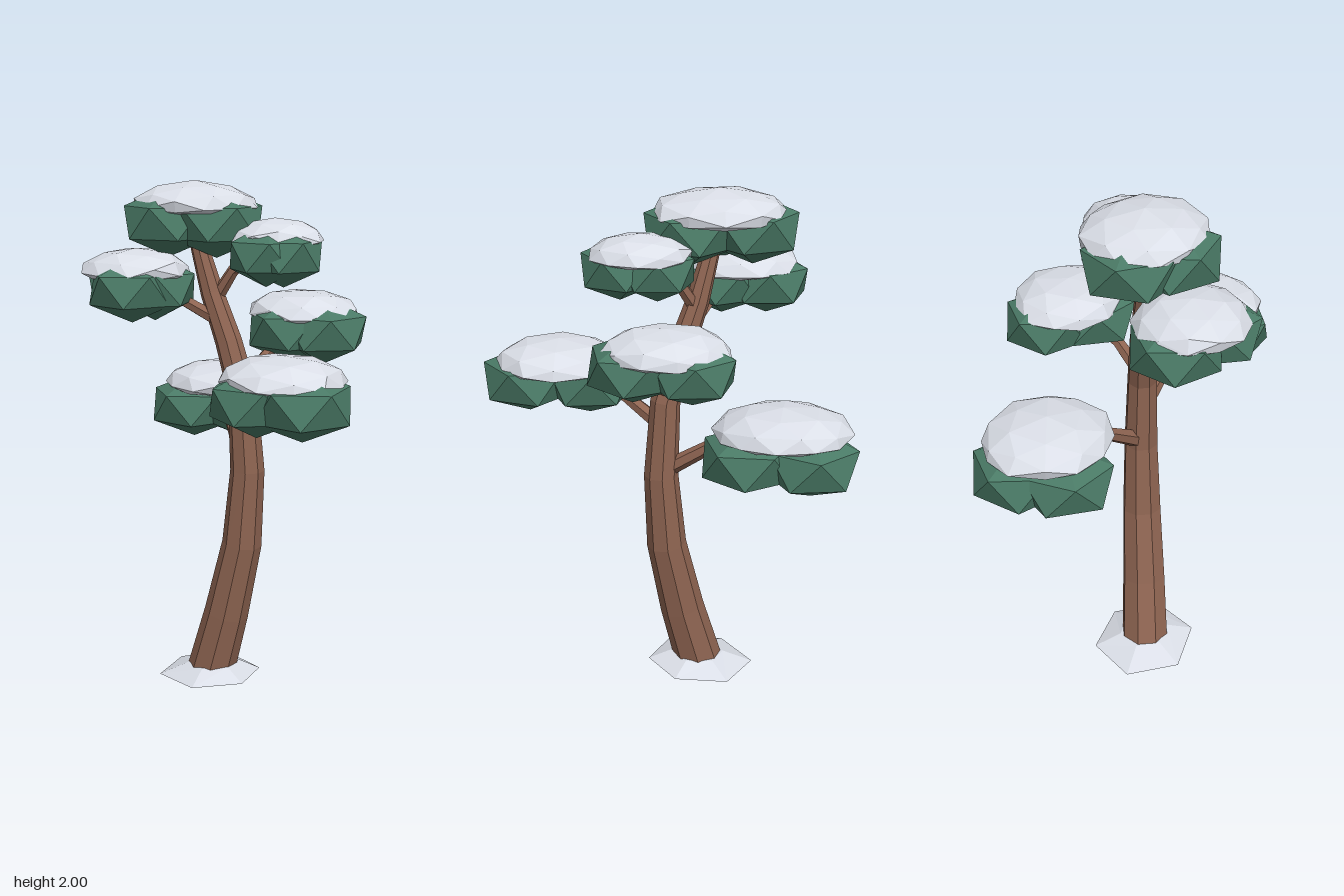
import * as THREE from 'three';

const mat = (name, color) => {
  const m = new THREE.MeshStandardMaterial({ color });
  m.name = name;
  return m;
};

export function createModel() {
  const bark = mat('bark brown', 0x8f6552);
  const leaf = mat('pine green', 0x4a7a66);
  const snow = mat('snow white', 0xdfe3ec);
  const tree = new THREE.Group();
  tree.name = 'snowyTree';

  const add = (parent, name, geometry, material) => {
    const mesh = new THREE.Mesh(geometry, material);
    mesh.name = name;
    parent.add(mesh);
  };

  // Faceted normals
  const facet = (geometry) => {
    const g = geometry.index ? geometry.toNonIndexed() : geometry;
    g.computeVertexNormals();
    return g;
  };

  // Push every corner in or out a little, the same for corners that coincide
  const roughen = (geometry, amount, seed) => {
    const p = geometry.attributes.position;
    const v = new THREE.Vector3();
    for (let i = 0; i < p.count; i++) {
      v.fromBufferAttribute(p, i);
      const key = Math.round(v.x * 50) * 12.9 + Math.round(v.y * 50) * 78.2 + Math.round(v.z * 50) * 37.7;
      v.multiplyScalar(1 + amount * Math.sin(key + seed * 5.3));
      p.setXYZ(i, v.x, v.y, v.z);
    }
    return geometry;
  };

  // Tapered faceted limb through stations [x, y, z, radius]
  const limb = (stations, sides) => {
    const last = stations.length - 1;
    const g = new THREE.CylinderGeometry(1, 1, 1, sides, last);
    const at = stations.map(([x, y, z]) => new THREE.Vector3(x, y, z));
    const up = new THREE.Vector3(0, 1, 0);
    const turns = at.map((_, i) => {
      const dir = at[Math.min(i + 1, last)].clone().sub(at[Math.max(i - 1, 0)]).normalize();
      return new THREE.Quaternion().setFromUnitVectors(up, dir);
    });
    const p = g.attributes.position;
    const v = new THREE.Vector3();
    for (let i = 0; i < p.count; i++) {
      const k = Math.round((p.getY(i) + 0.5) * last);
      v.set(p.getX(i), 0, p.getZ(i)).multiplyScalar(stations[k][3]);
      v.applyQuaternion(turns[k]).add(at[k]);
      p.setXYZ(i, v.x, v.y, v.z);
    }
    return facet(g);
  };

  // Curved trunk
  add(tree, 'trunk', limb([
    [-0.15, 0.024, 0.055, 0.097],
    [-0.075, 0.3, 0.028, 0.088],
    [-0.01, 0.6, 0, 0.078],
    [0.012, 0.9, -0.01, 0.067],
    [-0.005, 1.2, 0, 0.058],
    [-0.065, 1.4, 0.022, 0.052],
    [-0.13, 1.58, 0.05, 0.045],
    [-0.19, 1.8, 0.08, 0.032],
  ], 8), bark);

  // Branches reaching into the foliage pads
  const branches = [
    [[0, 0.92, -0.01, 0.035], [-0.2, 1.06, -0.09, 0.026], [-0.28, 1.075, -0.11, 0.022], [-0.36, 1.08, -0.18, 0.016]],
    [[0, 1.09, 0.01, 0.032], [0.14, 1.2, 0.06, 0.025], [0.3, 1.28, 0.12, 0.018]],
    [[-0.01, 1.22, 0, 0.03], [0.01, 1.34, -0.1, 0.024], [0.02, 1.43, -0.24, 0.018]],
    [[-0.09, 1.47, 0.03, 0.03], [-0.18, 1.55, 0.14, 0.023], [-0.27, 1.61, 0.22, 0.016]],
    [[-0.12, 1.56, 0.04, 0.028], [-0.05, 1.67, 0.01, 0.023], [0.05, 1.75, -0.04, 0.016]],
  ];
  branches.forEach((stations, i) => add(tree, `branch${i + 1}`, limb(stations, 6), bark));

  // Foliage pads: lobes are [x, z, radius], cap is [x, y, z, radius x, radius z, height]
  const pads = [
    { name: 'crownPad', y: 1.85, lobes: [[-0.335, 0.06, 0.19], [-0.235, 0.175, 0.19], [-0.1, 0.05, 0.195]],
      cap: [-0.21, 1.905, 0.07, 0.26, 0.23, 0.095] },
    { name: 'upperLeftPad', y: 1.74, lobes: [[0.165, -0.06, 0.16], [0.13, -0.005, 0.155], [0.03, -0.1, 0.155]],
      cap: [0.09, 1.79, -0.08, 0.195, 0.175, 0.08] },
    { name: 'upperRightPad', y: 1.605, lobes: [[-0.415, 0.24, 0.18], [-0.255, 0.335, 0.18], [-0.24, 0.24, 0.175]],
      cap: [-0.32, 1.66, 0.27, 0.235, 0.205, 0.09] },
    { name: 'backPad', y: 1.435, lobes: [[0.13, -0.29, 0.185], [-0.08, -0.345, 0.175], [0.03, -0.21, 0.185]],
      cap: [0.01, 1.49, -0.29, 0.24, 0.21, 0.09] },
    { name: 'lowerLeftPad', y: 1.26, lobes: [[0.515, 0.14, 0.195], [0.37, 0.23, 0.19], [0.28, 0.095, 0.185]],
      cap: [0.395, 1.325, 0.135, 0.25, 0.225, 0.095] },
    { name: 'lowerRightPad', y: 1.06, lobes: [[-0.525, -0.305, 0.195], [-0.51, -0.135, 0.195], [-0.295, -0.26, 0.195]],
      cap: [-0.425, 1.155, -0.23, 0.26, 0.24, 0.095] },
  ];
  pads.forEach((pad, n) => {
    const group = new THREE.Group();
    group.name = pad.name;
    tree.add(group);

    // Flattened leaf clumps, each standing on one corner
    pad.lobes.forEach(([x, z, r], i) => {
      const g = new THREE.IcosahedronGeometry(1, 0);
      g.rotateZ(Math.atan(2 / (1 + Math.sqrt(5))));
      g.rotateY(n * 1.7 + i * 2.1).scale(r, 0.05 + r * 0.43, r).translate(x, pad.y, z);
      add(group, `leafClump${i + 1}`, facet(g), leaf);
    });

    // Snow dome with a shallow underside
    const [x, y, z, rx, rz, h] = pad.cap;
    const g = roughen(new THREE.IcosahedronGeometry(1, 1), 0.03, n);
    const p = g.attributes.position;
    for (let i = 0; i < p.count; i++) if (p.getY(i) < 0) p.setY(i, p.getY(i) * 0.4);
    g.rotateY(n * 0.9).scale(rx, h, rz).translate(x, y, z);
    add(group, 'snowCap', facet(g), snow);
  });

  // Snow patch around the foot
  const patch = roughen(new THREE.CylinderGeometry(0.5, 1, 0.2, 6), 0.05, 2);
  patch.rotateY(0.5).scale(0.215, 0.22, 0.2).rotateZ(0.05).translate(-0.145, 0.052, 0.05);
  add(tree, 'groundSnow', facet(patch), snow);

  return tree;
}
